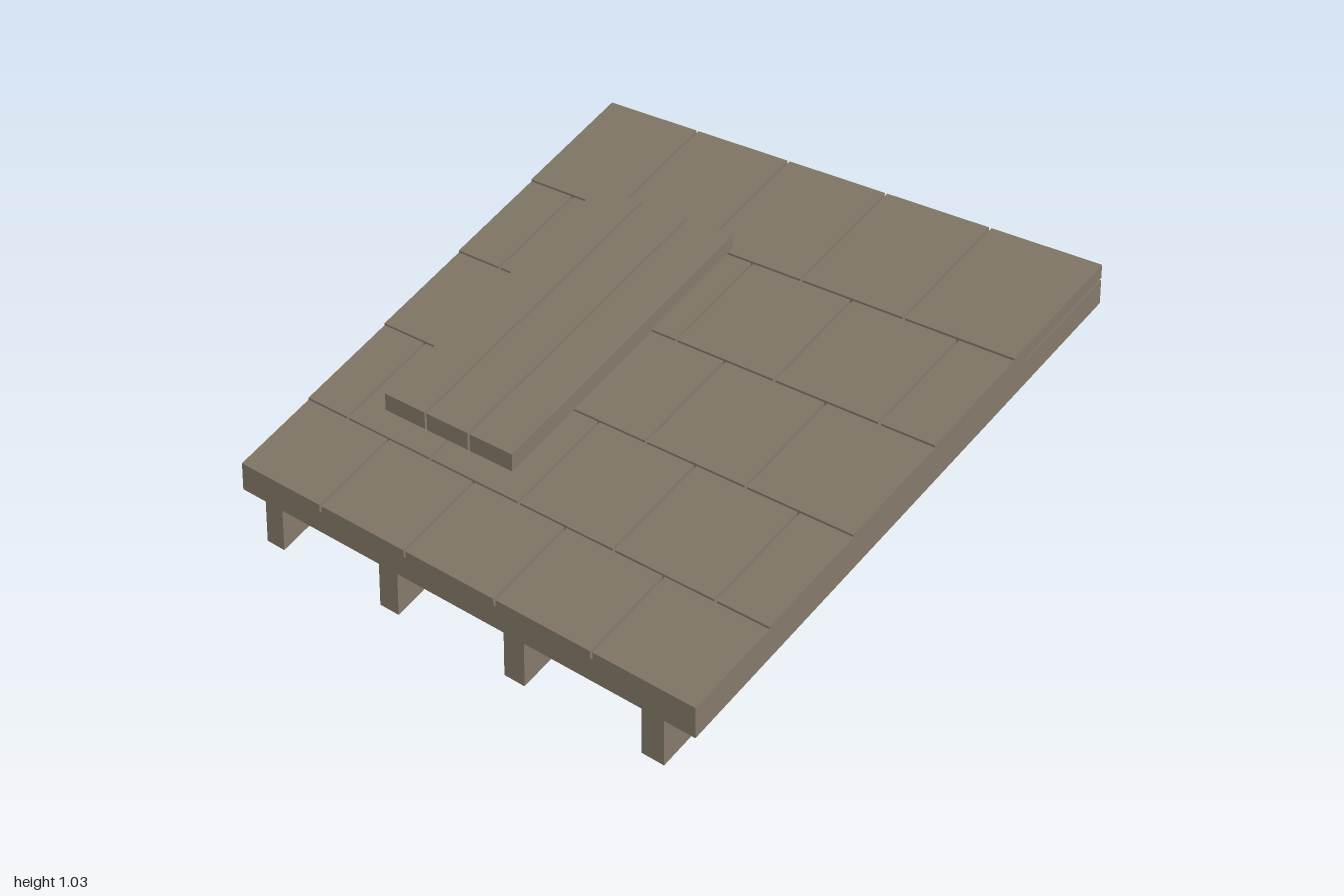
import * as THREE from 'three';

const SLOPE = 0.571;
const JOINT = 0.01;

// Box with upright ends whose top and bottom follow the roof pitch;
// h0 and h1 are heights measured above the sloping base plane.
function slopedBox(x0, x1, h0, h1, z0, z1) {
  const g = new THREE.BoxGeometry(x1 - x0, h1 - h0, z1 - z0);
  g.translate((x0 + x1) / 2, (h0 + h1) / 2, (z0 + z1) / 2);
  const p = g.attributes.position;
  for (let i = 0; i < p.count; i++) p.setY(i, p.getY(i) + (0.7 - p.getZ(i)) * SLOPE);
  g.computeVertexNormals();
  return g;
}

export function createModel() {
  const model = new THREE.Group();
  model.name = 'roofPanel';
  const wood = new THREE.MeshStandardMaterial({ color: 0x857b6b });
  wood.name = 'weatheredWood';

  const add = (parent, name, ...dims) => {
    const mesh = new THREE.Mesh(slopedBox(...dims), wood);
    mesh.name = name;
    parent.add(mesh);
  };
  const group = (name) => {
    const g = new THREE.Group();
    g.name = name;
    model.add(g);
    return g;
  };

  // Rafters under the deck
  const rafters = group('rafters');
  for (const x of [-0.84, -0.28, 0.28, 0.84]) {
    add(rafters, 'rafter', x - 0.043, x + 0.043, 0, 0.124, -0.7, 0.7);
  }

  // Solid deck
  add(model, 'deck', -1, 1, 0.124, 0.187, -0.7, 0.7);

  // Overlapping shingle courses, joints staggered, each a little higher
  const shingles = group('shingles');
  for (let row = 0; row < 5; row++) {
    const front = row === 0 ? 0.7 : 0.74 - 0.28 * row;
    const back = 0.42 - 0.28 * row;
    const top = 0.206 + 0.006 * row;
    const start = row % 2 ? -1.2 : -1;
    for (let x = start; x < 0.99; x += 0.4) {
      const x0 = x < -0.99 ? -1 : x + JOINT / 2;
      const x1 = x + 0.4 > 0.99 ? 1 : x + 0.4 - JOINT / 2;
      add(shingles, 'shingle', x0, x1, top - 0.036, top, back, front);
    }
  }

  // Repair patch of three planks
  const patch = group('repairPatch');
  for (const x of [-0.6, -0.4, -0.2]) {
    add(patch, 'patchPlank', x - 0.095, x + 0.095, 0.217, 0.267, -0.4, 0.4);
  }

  return model;
}
